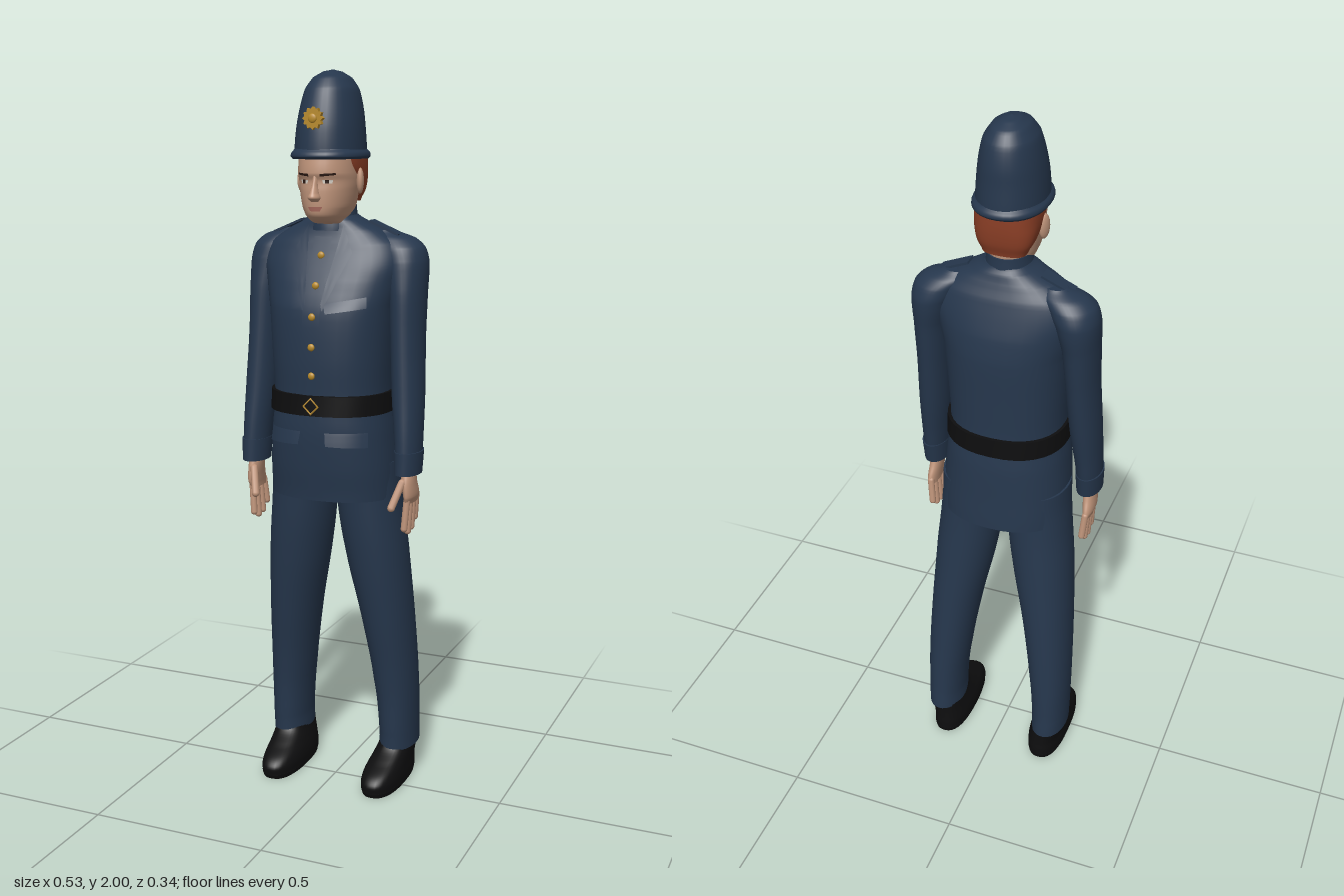
import * as THREE from 'three';

const mat = (name, color, side = THREE.FrontSide) => {
  const m = new THREE.MeshStandardMaterial({ color, side });
  m.name = name;
  return m;
};

// A section is [y, centreX, halfWidth, frontZ, backZ]; smooth a list of them
function refine(secs, steps = 5) {
  const out = [];
  for (let i = 0; i < secs.length - 1; i++) {
    const [a, b, c, d] = [-1, 0, 1, 2].map(k => secs[THREE.MathUtils.clamp(i + k, 0, secs.length - 1)]);
    for (let s = 0; s < steps; s++) {
      const t = s / steps;
      out.push(b.map((v, k) => {
        if (k === 0) return v + (c[0] - v) * t;
        const cubic = 3 * (v - c[k]) + d[k] - a[k];
        const square = 2 * a[k] - 5 * v + 4 * c[k] - d[k];
        return v + 0.5 * t * (c[k] - a[k] + t * (square + t * cubic));
      }));
    }
  }
  out.push(secs[secs.length - 1]);
  return out;
}

function build(pos, idx) {
  const g = new THREE.BufferGeometry();
  g.setAttribute('position', new THREE.Float32BufferAttribute(pos, 3));
  g.setIndex(idx);
  g.computeVertexNormals();
  return g;
}

// Closed, capped skin over horizontal superellipse sections, listed upwards
function loft(secs, n = 2, steps = 5, sides = 36) {
  const rings = refine(secs, steps), pos = [], idx = [];
  const addRing = ([y, cx, rx, zf, zb]) => {
    for (let j = 0; j < sides; j++) {
      const a = j / sides * Math.PI * 2, c = Math.cos(a), s = Math.sin(a);
      pos.push(cx + rx * Math.sign(c) * Math.abs(c) ** (2 / n), y,
        (zf + zb) / 2 + (zf - zb) / 2 * Math.sign(s) * Math.abs(s) ** (2 / n));
    }
  };
  rings.forEach(addRing);
  for (let i = 0; i < rings.length - 1; i++) for (let j = 0; j < sides; j++) {
    const p = i * sides + j, q = i * sides + (j + 1) % sides;
    idx.push(p, p + sides, q, q, p + sides, q + sides);
  }
  [rings[0], rings[rings.length - 1]].forEach((r, top) => {
    const base = pos.length / 3;
    addRing(r);
    pos.push(r[1], r[0], (r[3] + r[4]) / 2);
    for (let j = 0; j < sides; j++) {
      const p = base + j, q = base + (j + 1) % sides;
      idx.push(base + sides, ...(top ? [q, p] : [p, q]));
    }
  });
  return build(pos, idx);
}

// Front depth of a lofted skin at x, y
function frontZ(secs, n, x, y) {
  const r = refine(secs);
  let i = 0;
  while (i < r.length - 2 && r[i + 1][0] < y) i++;
  const t = THREE.MathUtils.clamp((y - r[i][0]) / (r[i + 1][0] - r[i][0]), 0, 1);
  const [, cx, rx, zf, zb] = r[i].map((v, k) => v + (r[i + 1][k] - v) * t);
  const u = Math.min(1, Math.abs((x - cx) / rx));
  return (zf + zb) / 2 + (zf - zb) / 2 * (1 - u ** n) ** (1 / n);
}

// Thin plate that follows the front of a skin; corners: top a, b then bottom c, d
function patch(secs, n, [a, b, c, d], offTop, offBottom = offTop, res = 8) {
  const pos = [], idx = [], lerp = THREE.MathUtils.lerp;
  for (let i = 0; i <= res; i++) for (let j = 0; j <= res; j++) {
    const v = i / res, u = j / res;
    const [x, y] = [0, 1].map(k => lerp(lerp(a[k], b[k], u), lerp(d[k], c[k], u), v));
    pos.push(x, y, frontZ(secs, n, x, y) + lerp(offTop, offBottom, v));
    if (i < res && j < res) {
      const p = i * (res + 1) + j, q = p + res + 1;
      idx.push(p, q, p + 1, p + 1, q, q + 1);
    }
  }
  return build(pos, idx);
}

const TUNIC = [[.86, 0, .18, .138, -.155], [.95, 0, .178, .15, -.15], [1.05, 0, .17, .158, -.145],
  [1.13, 0, .16, .157, -.136], [1.25, 0, .165, .162, -.135], [1.38, 0, .175, .156, -.135],
  [1.45, 0, .19, .13, -.126], [1.5, 0, .2, .106, -.112], [1.55, 0, .185, .083, -.096],
  [1.585, 0, .135, .07, -.08], [1.61, 0, .085, .067, -.07], [1.625, 0, .06, .062, -.06]];
const HEAD = [[1.55, 0, .05, .06, -.05], [1.6, 0, .052, .068, -.055], [1.612, 0, .048, .112, -.055],
  [1.626, 0, .055, .133, -.055], [1.65, 0, .065, .138, -.055], [1.69, 0, .073, .139, -.06],
  [1.717, 0, .077, .137, -.065], [1.737, 0, .078, .144, -.067], [1.8, 0, .077, .136, -.067]];

export function createModel() {
  const root = new THREE.Group();
  const navy = mat('navy cloth', 0x26374d, THREE.DoubleSide), black = mat('black leather', 0x0e0e0f);
  const skin = mat('skin', 0xc0957b), hair = mat('red hair', 0x8c3f26), gold = mat('gold', 0xb88a2a);
  const lip = mat('lips', 0xa5695c, THREE.DoubleSide), white = mat('eye white', 0xd8d2c8, THREE.DoubleSide);
  const dark = mat('dark brown', 0x2c1a14, THREE.DoubleSide);
  const add = (name, geo, m, x = 0, y = 0, z = 0) => {
    const mesh = new THREE.Mesh(geo, m);
    mesh.name = name;
    mesh.position.set(x, y, z);
    root.add(mesh);
    return mesh;
  };
  const limb = (name, a, b, r, m) => {
    const p = new THREE.Vector3(...a), q = new THREE.Vector3(...b), dir = q.clone().sub(p);
    const mesh = add(name, new THREE.CapsuleGeometry(r, dir.length(), 4, 10), m);
    mesh.position.copy(p).add(q).multiplyScalar(.5);
    mesh.quaternion.setFromUnitVectors(new THREE.Vector3(0, 1, 0), dir.normalize());
  };

  // Tunic, collar and belt
  add('tunic', loft(TUNIC, 2.3), navy);
  add('collar', loft([[1.585, 0, .066, .08, -.064], [1.62, 0, .061, .074, -.062], [1.65, 0, .057, .066, -.06]]), navy);
  add('belt', loft([[1.1, 0, .171, .168, -.147], [1.155, 0, .168, .168, -.145]], 2.3, 1), black);
  add('placket', patch(TUNIC, 2.3, [[-.028, 1.57], [.022, 1.57], [.022, .87], [-.028, .87]], .003, .003, 24), navy);
  add('breastPocketFlap', patch(TUNIC, 2.3, [[.03, 1.4], [.135, 1.418], [.14, 1.39], [.04, 1.375]], .004, .014), navy);
  add('buckle', new THREE.TorusGeometry(.021, .003, 6, 4), gold, 0, 1.127, .171);
  for (const y of [1.522, 1.445, 1.365, 1.285, 1.208]) {
    add('button', new THREE.SphereGeometry(.01, 14, 10), gold, 0, y, frontZ(TUNIC, 2.3, 0, y) + .004).scale.z = .6;
  }

  // Head
  add('head', loft(HEAD, 2.1), skin);
  add('nose', loft([[1.664, 0, .011, .152, .12], [1.673, 0, .016, .164, .12], [1.685, 0, .012, .16, .12],
    [1.705, 0, .008, .15, .12], [1.73, 0, .007, .142, .12]]), skin);
  add('hair', loft([[1.66, 0, .058, .01, -.06], [1.69, 0, .073, .035, -.07], [1.72, 0, .081, .065, -.075],
    [1.75, 0, .084, .095, -.077], [1.79, 0, .084, .105, -.077]], 2.8), hair);
  add('lips', patch(HEAD, 2.1, [[-.02, 1.65], [.02, 1.65], [.014, 1.639], [-.014, 1.639]], .003), lip);

  // Helmet with brim and badge
  add('helmetBrim', loft([[1.772, 0, .094, .154, -.09], [1.778, 0, .098, .16, -.095],
    [1.788, 0, .096, .157, -.093], [1.798, 0, .088, .148, -.084]], 2.2), navy);
  add('helmet', loft([[1.79, 0, .09, .15, -.086], [1.85, 0, .086, .143, -.082], [1.9, 0, .079, .13, -.079],
    [1.95, 0, .067, .112, -.068], [1.98, 0, .047, .086, -.046], [1.995, 0, .023, .052, -.014], [2, 0, .003, .022, .016]], 2.1), navy);
  const star = new THREE.Shape();
  for (let i = 0; i < 24; i++) {
    const a = i / 24 * Math.PI * 2, r = i % 2 ? .023 : .029;
    star[i ? 'lineTo' : 'moveTo'](r * Math.cos(a), r * Math.sin(a));
  }
  add('badge', new THREE.ExtrudeGeometry(star, { depth: .014, bevelEnabled: false }), gold, 0, 1.875, .139);
  add('badgeBoss', new THREE.SphereGeometry(.012, 14, 10), gold, 0, 1.875, .153).scale.z = .4;

  for (const s of [1, -1]) {
    const side = s > 0 ? 'left' : 'right';
    const mir = secs => secs.map(([y, x, ...r]) => [y, s * x, ...r]);
    const pts = list => list.map(([x, y]) => [s * x, y]);

    // Face features and ears
    add(side + 'Eye', patch(HEAD, 2.1, pts([[.02, 1.719], [.045, 1.719], [.043, 1.71], [.022, 1.71]]), .002), white);
    add(side + 'Iris', patch(HEAD, 2.1, pts([[.028, 1.72], [.037, 1.72], [.037, 1.71], [.028, 1.71]]), .004), dark);
    add(side + 'Brow', patch(HEAD, 2.1, pts([[.016, 1.735], [.052, 1.737], [.053, 1.732], [.016, 1.728]]), .003), dark);
    const ear = add(side + 'Ear', new THREE.SphereGeometry(1, 14, 12), skin, s * .083, 1.715, .03);
    ear.scale.set(.01, .034, .019);
    ear.rotation.y = s * .35;

    // Lapel, skirt pocket and shoulder strap
    add(side + 'Lapel', patch(TUNIC, 2.3, pts([[.05, 1.6], [.085, 1.53], [.028, 1.38], [.022, 1.4]]), .004, .006), navy);
    add(side + 'PocketFlap', patch(TUNIC, 2.3, pts([[.035, 1.055], [.14, 1.055], [.143, 1.015], [.04, 1.02]]), .004, .013), navy);
    const strap = add(side + 'ShoulderStrap', new THREE.BoxGeometry(.09, .006, .04), navy, s * .14, 1.591, -.015);
    strap.rotation.z = -s * .4;

    // Sleeve and cuff
    add(side + 'Sleeve', loft(mir([[.94, .227, .033, .086, -.02], [1, .227, .035, .086, -.03], [1.15, .218, .042, .075, -.055],
      [1.3, .21, .044, .066, -.075], [1.42, .205, .049, .06, -.09], [1.5, .195, .06, .05, -.1],
      [1.54, .18, .065, .04, -.092], [1.565, .158, .06, .022, -.075], [1.585, .135, .03, 0, -.05]])), navy);
    add(side + 'Cuff', loft(mir([[.938, .228, .035, .09, -.024], [1, .228, .0375, .09, -.034]]), 2, 1), navy);

    // Hand
    add(side + 'Palm', loft(mir([[.855, .232, .012, .062, -.026], [.875, .234, .016, .07, -.024],
      [.91, .231, .018, .07, -.008], [.95, .228, .02, .06, .004]])), skin);
    [.8, .778, .772, .785].forEach((tip, i) => {
      const z = -.018 + i * .024;
      limb(side + 'Finger', [s * .233, .868, z], [s * .227, tip, z * 1.15 - .004], .0095, skin);
    });
    limb(side + 'Thumb', [s * .222, .915, .065], [s * .203, .85, .096], .0105, skin);

    // Trouser leg
    add(side + 'TrouserLeg', loft(mir([[.1, .168, .052, .002, -.17], [.16, .168, .053, .005, -.166], [.3, .161, .06, .016, -.159],
      [.5, .142, .072, .048, -.146], [.7, .116, .086, .078, -.132], [.86, .098, .089, .093, -.122], [.96, .092, .09, .1, -.12]]), 2.1), navy);

    // Shoe
    add(side + 'Sole', loft(mir([[0, .156, .052, .112, -.165], [.014, .156, .055, .118, -.168]]), 2.5, 1), black);
    add(side + 'Shoe', loft(mir([[.012, .156, .055, .118, -.168], [.035, .156, .056, .119, -.168], [.055, .157, .054, .1, -.166],
      [.075, .16, .051, .055, -.165], [.1, .164, .048, .008, -.164], [.125, .166, .046, -.01, -.16]]), 2.4), black);
  }
  return root;
}
